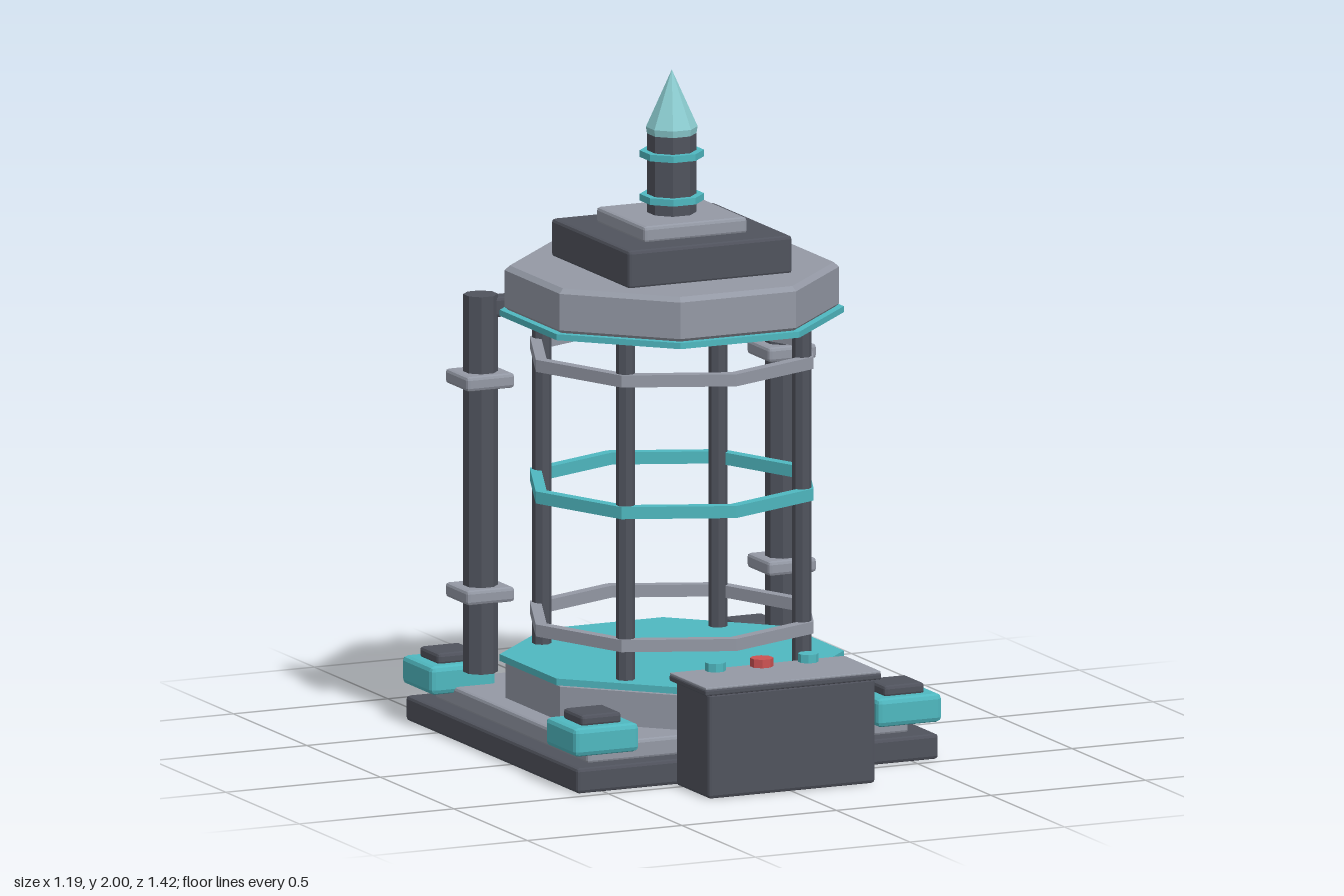
import * as THREE from 'three';
import { RoundedBoxGeometry } from 'three/addons/geometries/RoundedBoxGeometry.js';

const material = (name, color) => Object.assign(new THREE.MeshStandardMaterial({ color }), { name });

export function createModel() {
  const model = new THREE.Group();
  model.name = 'containmentTower';
  const dark = material('dark steel', 0x50535d);
  const light = material('light steel', 0x9499a5);
  const teal = material('teal', 0x4fb8c0);
  const pale = material('pale teal glass', 0x8ccdd1);
  const red = material('red', 0xcc5252);
  const CZ = -0.12; // tower axis
  const COS = Math.cos(Math.PI / 8);

  function add(name, geometry, mat, x = 0, y = 0, z = 0) {
    const flat = geometry.index ? geometry.toNonIndexed() : geometry;
    flat.computeVertexNormals();
    const mesh = new THREE.Mesh(flat, mat);
    mesh.name = name;
    mesh.position.set(x, y, z);
    model.add(mesh);
    return mesh;
  }
  // Bevelled box given its centre in x and z and its bottom and top heights
  function box(name, mat, w, d, y0, y1, x, z, bevel = 0.01) {
    const h = y1 - y0;
    const r = Math.min(bevel, h * 0.3);
    return add(name, new RoundedBoxGeometry(w, h, d, 1, r), mat, x, (y0 + y1) / 2, z);
  }
  // Eight-sided solid with flats facing the axes; profile is [apothem, y] from bottom to top
  function octagon(name, mat, profile, x = 0, z = CZ) {
    const points = profile.map(([a, y]) => new THREE.Vector2(a / COS, y));
    return add(name, new THREE.LatheGeometry(points, 8, Math.PI / 8), mat, x, 0, z);
  }
  const prism = (name, mat, a, y0, y1, x, z) =>
    octagon(name, mat, [[0, y0], [a, y0], [a, y1], [0, y1]], x, z);
  const bevelled = (name, mat, a, y0, y1, b) =>
    octagon(name, mat, [[0, y0], [a - b, y0], [a, y0 + b], [a, y1 - b], [a - b, y1], [0, y1]]);

  // Stepped square base
  box('basePlate', dark, 1.17, 1.17, 0, 0.075, 0, -0.117);
  box('baseDeck', light, 1.04, 1.04, 0.07, 0.13, 0, -0.12);

  // Corner feet
  for (const x of [-0.49, 0.49]) {
    for (const z of [-0.607, 0.37]) {
      box('cornerFoot', teal, 0.21, 0.206, 0.11, 0.195, x, z, 0.015);
      box('cornerFootCap', dark, 0.13, 0.13, 0.19, 0.225, x, z);
    }
  }

  // Chamber floor and roof
  bevelled('chamberFloor', light, 0.45, 0.12, 0.243, 0.01);
  prism('floorTrim', teal, 0.465, 0.24, 0.26);
  prism('roofTrim', teal, 0.465, 1.27, 1.288);
  bevelled('roof', light, 0.452, 1.283, 1.42, 0.014);

  // Upright posts
  for (const x of [-0.285, 0.285]) {
    for (const z of [-0.285, 0.285]) prism('post', dark, 0.026, 0.25, 1.28, x, CZ + z);
  }

  // Cage rings with their corners on the axes
  for (const [y, mat] of [[0.365, light], [0.762, teal], [1.155, light]]) {
    const section = [[0.44, -0.018], [0.44, 0.018], [0.405, 0.018], [0.405, -0.018], [0.44, -0.018]]
      .map(([r, h]) => new THREE.Vector2(r, h));
    add('cageRing', new THREE.LatheGeometry(section, 8), mat, 0, y, CZ);
  }

  // Roof steps and finial
  box('roofStepLower', dark, 0.53, 0.53, 1.415, 1.53, 0, CZ);
  box('roofStepUpper', light, 0.334, 0.33, 1.525, 1.575, 0, CZ);
  prism('finialStem', dark, 0.067, 1.57, 1.815);
  for (const y of [1.62, 1.75]) prism('finialBand', teal, 0.087, y - 0.01, y + 0.01);
  octagon('finialTip', pale, [[0, 1.81], [0.067, 1.81], [0.07, 1.83], [0, 2]]);

  // Side pipes with clamps and roof arms
  for (const s of [-1, 1]) {
    prism('sidePipe', dark, 0.047, 0.195, 1.322, s * 0.488, -0.395);
    for (const y of [0.432, 1.07]) {
      box('pipeClamp', light, 0.155, 0.155, y - 0.022, y + 0.022, s * 0.488, -0.398);
    }
    box('roofArm', dark, 0.13, 0.06, 1.252, 1.312, s * 0.425, -0.397);
  }

  // Control console linked to the chamber
  box('consoleBody', dark, 0.54, 0.225, 0, 0.315, 0, 0.587);
  box('consoleLid', dark, 0.57, 0.25, 0.31, 0.329, 0, 0.585, 0.005);
  box('consoleTop', light, 0.566, 0.246, 0.328, 0.335, 0, 0.585, 0.002);
  box('consoleLink', dark, 0.05, 0.16, 0.145, 0.195, 0, 0.4);
  for (const x of [-0.15, 0, 0.15]) {
    prism('consoleButton', x ? teal : red, x ? 0.028 : 0.032, 0.33, 0.36, x, 0.492);
  }

  return model;
}
